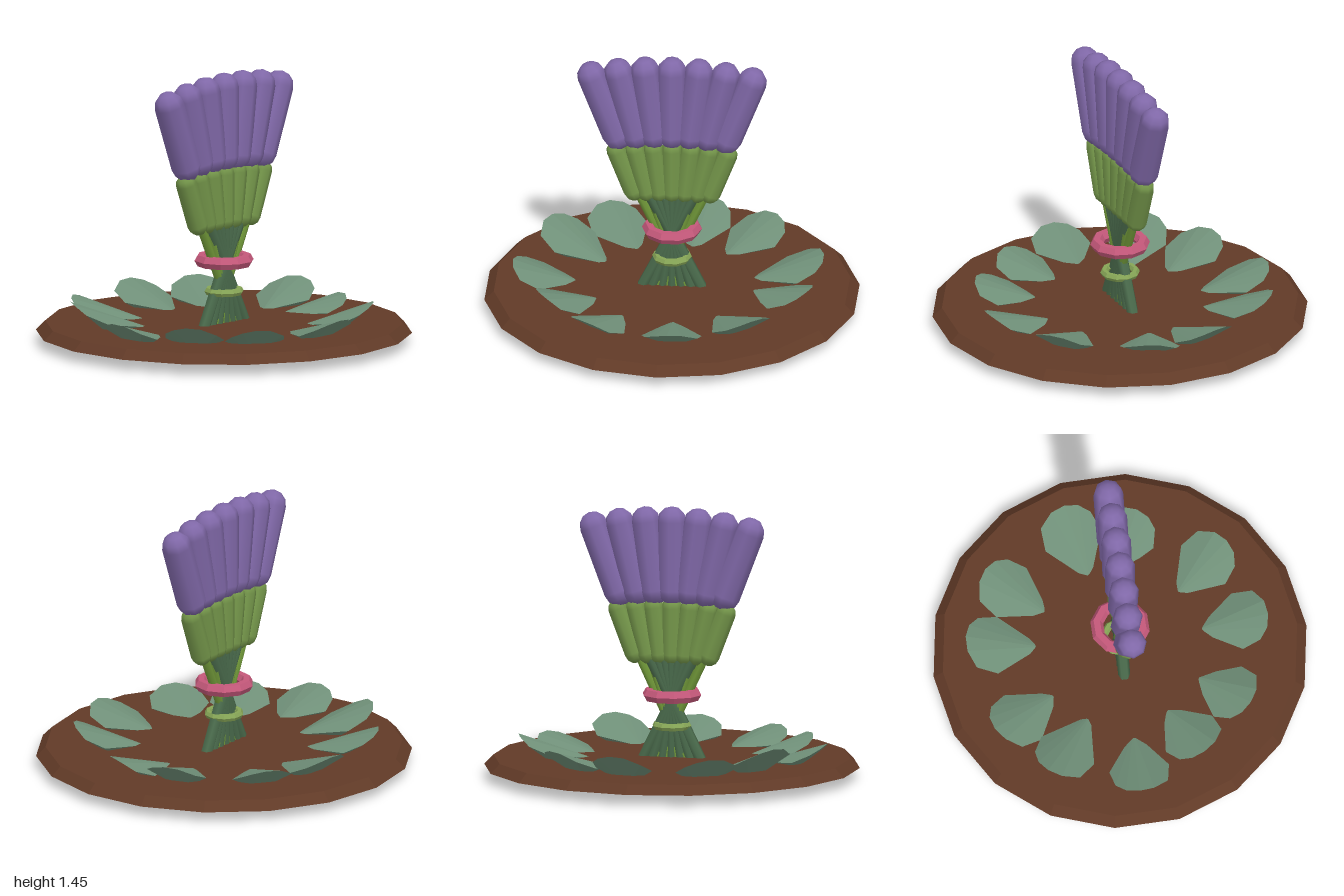
import * as THREE from 'three';

const mat = (color, extra = {}) => new THREE.MeshStandardMaterial({ color, ...extra });

function add(parent, name, geometry, material) {
  const mesh = new THREE.Mesh(geometry, material);
  mesh.name = name;
  parent.add(mesh);
  return mesh;
}

// Straight stalk between two points in the z = 0 plane
function stalk(parent, name, x0, y0, x1, y1, r0, r1, material) {
  const length = Math.hypot(x1 - x0, y1 - y0);
  const mesh = add(parent, name, new THREE.CylinderGeometry(r1, r0, length, 6), material);
  mesh.position.set((x0 + x1) / 2, (y0 + y1) / 2, 0);
  mesh.rotation.z = -Math.atan2(x1 - x0, y1 - y0);
}

// Faceted leaf along +x: ridges fan from the tip to a raised rim, with a keel beneath
function leafGeometry(length, lift) {
  const tip = [0, 0.1, 0];
  const keel = [0.45 * length, 0.045, 0];
  const rim = [
    [0.58, 0.115, -0.16], [0.86, 0.15, -0.14], [0.98, 0.185, -0.06],
    [1, 0.19, 0.02], [0.95, 0.175, 0.09], [0.83, 0.15, 0.14], [0.58, 0.115, 0.16],
  ].map(([s, y, w]) => [s * length, y + lift * s, w]);
  const p = [];
  for (let i = 0; i < rim.length - 1; i++) {
    p.push(...tip, ...rim[i + 1], ...rim[i]);
    p.push(...keel, ...rim[i], ...rim[i + 1]);
  }
  p.push(...tip, ...rim[0], ...keel, ...tip, ...keel, ...rim[rim.length - 1]);
  const geometry = new THREE.BufferGeometry();
  geometry.setAttribute('position', new THREE.Float32BufferAttribute(p, 3));
  geometry.computeVertexNormals();
  return geometry;
}

export function createModel() {
  const model = new THREE.Group();
  model.name = 'flowerBundle';

  const soil = mat(0x613a27, { flatShading: true });
  const leaf = mat(0x6f8f78, { flatShading: true, side: THREE.DoubleSide });
  const lightStem = mat(0x6f9638);
  const darkStem = mat(0x4a6b4c);
  const calyx = mat(0x74964a);
  const petal = mat(0x8068a8);
  const pink = mat(0xc4587a, { flatShading: true });
  const tie = mat(0x86a556, { flatShading: true });

  // Bevelled base disc
  add(model, 'base', new THREE.CylinderGeometry(0.95, 1, 0.05, 18), soil).position.y = 0.085;

  // Ring of leaves: tip x, tip z, outer end x, outer end z, extra lift
  const leaves = new THREE.Group();
  leaves.name = 'leaves';
  model.add(leaves);
  [
    [0.07, -0.41, 0.12, -0.81, 0.04],
    [0.24, -0.34, 0.49, -0.66, 0.03],
    [0.40, -0.10, 0.79, -0.20, 0.04],
    [0.40, 0.02, 0.74, 0.18, 0],
    [0.25, 0.33, 0.49, 0.63, 0.04],
    [0.04, 0.41, 0.06, 0.80, 0.02],
    [-0.21, 0.36, -0.42, 0.65, 0.01],
    [-0.36, 0.18, -0.67, 0.37, 0.02],
    [-0.48, 0.00, -0.85, 0.00, 0.02],
    [-0.35, -0.21, -0.69, -0.47, 0.06],
    [-0.20, -0.36, -0.41, -0.72, 0.03],
  ].forEach(([x0, z0, x1, z1, lift]) => {
    const length = Math.hypot(x1 - x0, z1 - z0);
    const mesh = add(leaves, 'leaf', leafGeometry(length, lift), leaf);
    mesh.position.set(x0, 0, z0);
    mesh.rotation.y = -Math.atan2(z1 - z0, x1 - x0);
  });

  // Fan of seven flowers with crossing stalks
  const flowers = new THREE.Group();
  flowers.name = 'flowers';
  model.add(flowers);
  for (let i = -3; i <= 3; i++) {
    const k = i / 3;
    const tilt = -i * THREE.MathUtils.degToRad(7);
    stalk(flowers, 'lightStem', -0.12 * k, 0.01, 0.175 * k, 0.64, 0.023, 0.025, lightStem);
    stalk(flowers, 'darkStem', -0.165 * k, 0.08, 0.11 * k, 0.63, 0.032, 0.036, darkStem);

    const cup = add(flowers, 'calyx', new THREE.CapsuleGeometry(0.056, 0.25, 3, 8), calyx);
    cup.position.set(0.083 * i, 0.785 - 0.001 * i * i, 0);
    cup.rotation.z = tilt;

    const head = add(flowers, 'flowerHead', new THREE.CapsuleGeometry(0.08, 0.37, 3, 8), petal);
    head.position.set(0.12 * i, 1.19 - 0.0035 * i * i, 0);
    head.rotation.z = tilt;
  }

  // Two faceted rings binding the stalks
  [
    ['upperRing', 0.125, 0.035, 0.445, pink],
    ['lowerRing', 0.085, 0.021, 0.278, tie],
  ].forEach(([name, radius, tube, y, material]) => {
    const ring = add(model, name, new THREE.TorusGeometry(radius, tube, 6, 10), material);
    ring.rotation.x = Math.PI / 2;
    ring.position.y = y;
  });

  return model;
}
